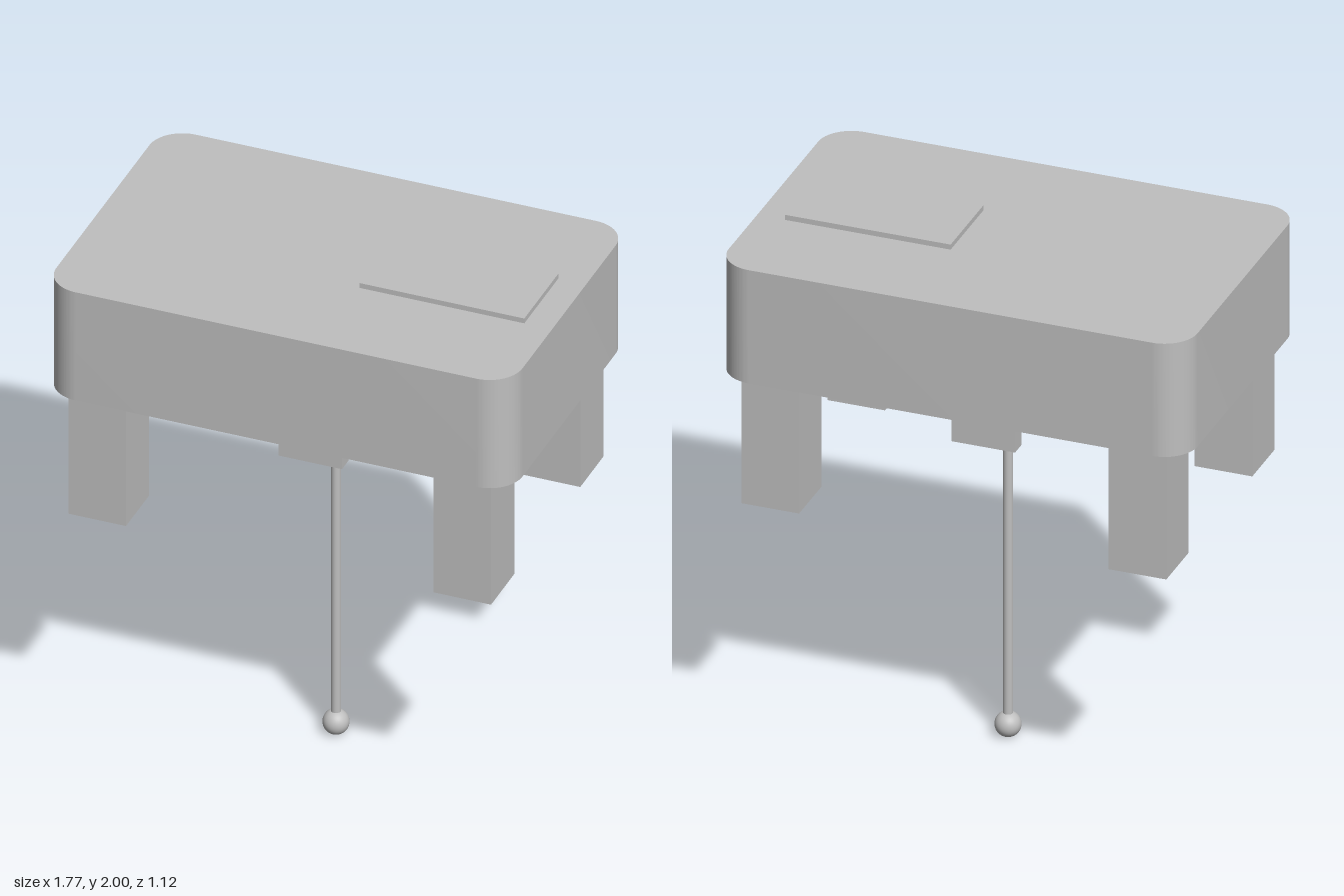
import * as THREE from 'three';
import { toCreasedNormals } from 'three/addons/utils/BufferGeometryUtils.js';

export function createModel() {
  const model = new THREE.Group();
  model.name = 'blockWithPendulum';

  const grey = new THREE.MeshStandardMaterial({ color: 0xbfbfbf });
  grey.name = 'grey';

  const add = (name, geometry, x, y, z) => {
    const mesh = new THREE.Mesh(geometry, grey);
    mesh.name = name;
    mesh.position.set(x, y, z);
    model.add(mesh);
    return mesh;
  };

  // Body: rounded rectangle in plan, raised straight up
  const w = 0.885, d = 0.562, r = 0.125;
  const plan = new THREE.Shape();
  plan.absarc(w - r, d - r, r, 0, Math.PI / 2);
  plan.absarc(r - w, d - r, r, Math.PI / 2, Math.PI);
  plan.absarc(r - w, r - d, r, Math.PI, Math.PI * 1.5);
  plan.absarc(w - r, r - d, r, Math.PI * 1.5, Math.PI * 2);
  plan.closePath();
  const bodyGeometry = new THREE.ExtrudeGeometry(plan, {
    depth: 0.45, bevelEnabled: false, curveSegments: 16,
  });
  bodyGeometry.rotateX(-Math.PI / 2);
  add('body', toCreasedNormals(bodyGeometry, 0.6), 0, 1.53, 0);

  // Raised plate on the top
  add('topPlate', new THREE.BoxGeometry(0.625, 0.02, 0.32), 0.467, 1.99, 0);

  // Four square legs and the two bracket plates
  for (const side of [-1, 1]) {
    const end = side > 0 ? 'front' : 'back';
    add(end + 'LeftLeg', new THREE.BoxGeometry(0.218, 0.5, 0.218), 0.693, 1.28, side * 0.419);
    add(end + 'RightLeg', new THREE.BoxGeometry(0.218, 0.5, 0.218), -0.693, 1.28, side * 0.419);
    add(end + 'Bracket', new THREE.BoxGeometry(0.24, 0.265, 0.062), 0, 1.3975, side * 0.21);
  }

  // Hub under the body, with a short side rod half sunk into the body
  add('hub', new THREE.CylinderGeometry(0.145, 0.145, 0.13, 48), 0, 1.465, 0);
  add('sideRod', new THREE.CylinderGeometry(0.03, 0.03, 0.225, 24), 0.1125, 1.53, 0)
    .rotation.z = Math.PI / 2;

  // Pivot pin through the brackets
  add('pivotPin', new THREE.CylinderGeometry(0.033, 0.033, 0.535, 32), 0, 1.383, 0)
    .rotation.x = Math.PI / 2;

  // Hanging rod and end ball
  add('hangingRod', new THREE.CylinderGeometry(0.018, 0.018, 1.33, 24), 0, 0.715, 0);
  add('endBall', new THREE.SphereGeometry(0.048, 32, 20), 0, 0.048, 0);

  return model;
}
